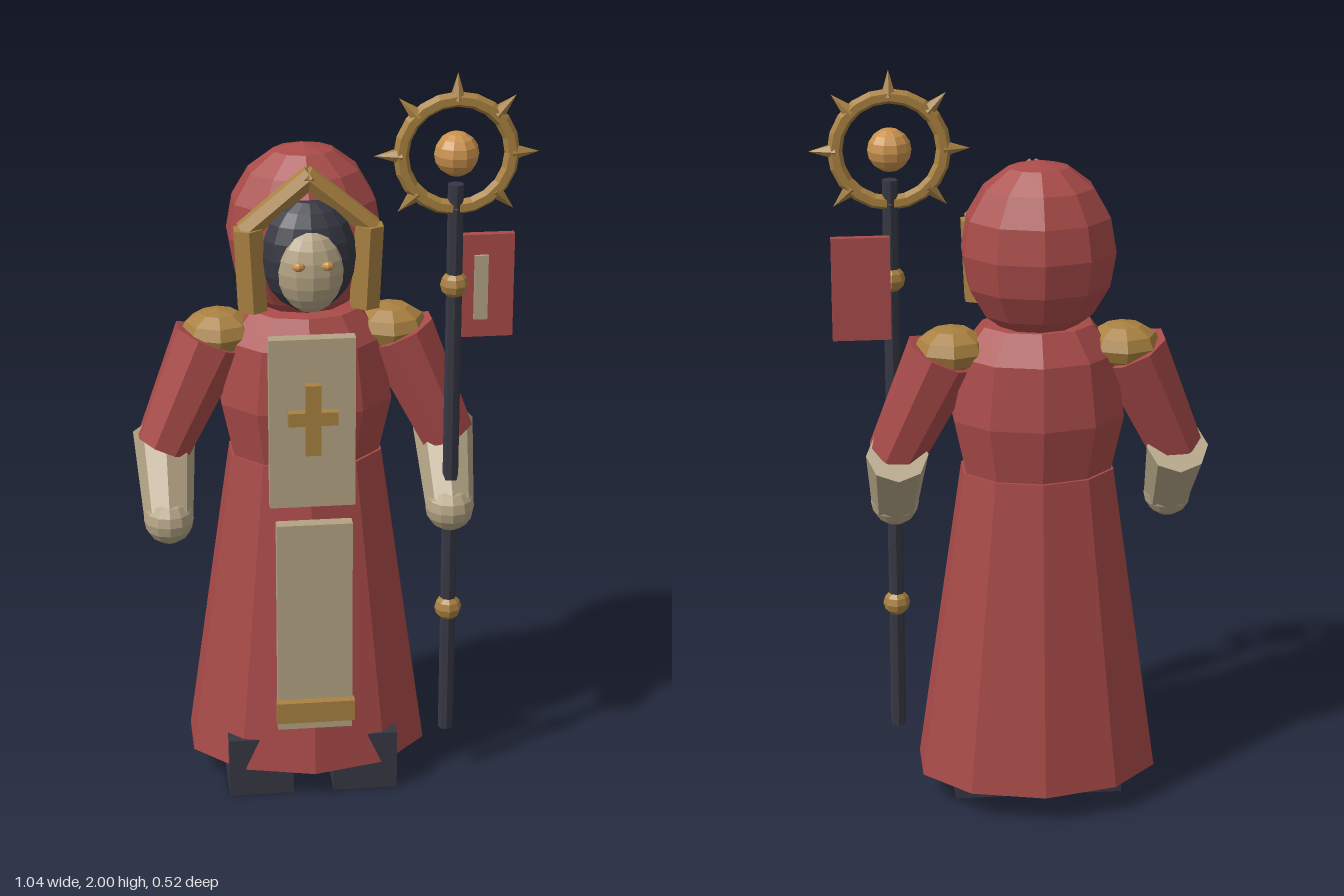
import * as THREE from 'three';

const mat = (name, color) => {
  const m = new THREE.MeshStandardMaterial({ color, flatShading: true });
  m.name = name;
  return m;
};

export function createModel() {
  const red = mat('robe red', 0xa94b49);
  const tan = mat('parchment tan', 0xb3a384);
  const gold = mat('old gold', 0xa98141);
  const amber = mat('amber', 0xc8914c);
  const dark = mat('dark iron', 0x363742);
  const model = new THREE.Group();
  const CX = -0.07; // body centre line
  const STAFF_X = 0.305, STAFF_Z = 0.12;

  const add = (name, geo, material, x = 0, y = 0, z = 0, parent = model) => {
    const m = new THREE.Mesh(geo, material);
    m.name = name;
    m.position.set(x, y, z);
    parent.add(m);
    return m;
  };
  const box = (name, material, w, h, d, x, y, z) =>
    add(name, new THREE.BoxGeometry(w, h, d), material, x, y, z);
  const ellipsoid = (name, material, r, p, ws = 10, hs = 7) => {
    const g = new THREE.SphereGeometry(1, ws, hs).rotateY(Math.PI / 2);
    g.scale(...r);
    return add(name, g, material, ...p);
  };
  // tapered rod between two points
  const rod = (name, material, a, b, ra, rb, sides) => {
    const A = new THREE.Vector3(...a), B = new THREE.Vector3(...b);
    const dir = B.clone().sub(A);
    const m = add(name, new THREE.CylinderGeometry(rb, ra, dir.length(), sides), material);
    m.position.copy(A).add(B).multiplyScalar(0.5);
    m.quaternion.setFromUnitVectors(new THREE.Vector3(0, 1, 0), dir.normalize());
    return m;
  };

  // robe skirt and torso
  const skirt = new THREE.CylinderGeometry(0.21, 0.336, 0.87, 10).scale(1, 1, 0.745);
  add('robeSkirt', skirt, red, CX, 0.515, -0.01);
  const torsoProfile = [[0, 0.935], [0.2, 0.935], [0.237, 1.1], [0.212, 1.27], [0.15, 1.35], [0, 1.37]];
  const torso = new THREE.LatheGeometry(torsoProfile.map(p => new THREE.Vector2(...p)), 10).scale(1, 1, 0.73);
  add('torso', torso, red, CX, 0, -0.01);

  // hood, inner cowl and mask
  ellipsoid('hood', red, [0.208, 0.238, 0.17], [CX, 1.552, -0.025], 10, 8);
  ellipsoid('innerCowl', dark, [0.125, 0.152, 0.09], [CX, 1.53, 0.1], 14, 10);
  ellipsoid('faceMask', tan, [0.086, 0.112, 0.065], [CX, 1.505, 0.155], 12, 10);

  for (const s of [-1, 1]) {
    const X = d => CX + s * d;
    ellipsoid('eye', amber, [0.017, 0.012, 0.012], [X(0.037), 1.535, 0.214], 8, 6);

    // gabled frame around the hood opening
    rod('framePost', gold, [X(0.145), 1.385, 0.1], [X(0.155), 1.605, 0.1], 0.042, 0.042, 6);
    rod('frameGable', gold, [X(0.165), 1.595, 0.1], [X(-0.008), 1.74, 0.1], 0.03, 0.03, 6);

    // arms
    ellipsoid('shoulderPad', gold, [0.1, 0.062, 0.093], [X(0.227), 1.285, -0.015], 8, 6);
    rod('sleeve', red, [X(0.25), 1.27, -0.01], [X(0.38), 0.98, 0.015], 0.1, 0.076, 8);
    rod('forearm', tan, [X(0.375), 1.0, -0.035], [X(0.375), 0.815, 0.117], 0.083, 0.065, 8);
    ellipsoid('hand', tan, [0.066, 0.066, 0.066], [X(0.375), 0.811, 0.12], 12, 8);

    // boots
    box('boot', dark, 0.175, 0.17, 0.28, X(0.1425), 0.085, 0.055);
  }

  // hanging cloth panels with trim
  box('chestPanel', tan, 0.225, 0.47, 0.035, CX, 1.095, 0.173);
  box('skirtPanel', tan, 0.2, 0.605, 0.035, CX, 0.527, 0.223);
  box('panelHem', gold, 0.21, 0.06, 0.028, CX, 0.285, 0.25);
  box('crossUpright', gold, 0.04, 0.195, 0.025, CX, 1.113, 0.202);
  box('crossBar', gold, 0.13, 0.037, 0.024, CX, 1.117, 0.202);

  // staff
  add('staffShaft', new THREE.CylinderGeometry(0.021, 0.021, 1.57, 8), dark, STAFF_X, 0.925, STAFF_Z);
  for (const y of [0.51, 1.44])
    ellipsoid('staffKnob', gold, [0.037, 0.037, 0.037], [STAFF_X, y, STAFF_Z], 8, 6);

  // spiked ring head
  const head = new THREE.Group();
  head.name = 'staffHead';
  head.position.set(STAFF_X, 1.79, STAFF_Z);
  model.add(head);
  add('ring', new THREE.TorusGeometry(0.142, 0.02, 6, 20), gold, 0, 0, 0, head);
  add('orb', new THREE.SphereGeometry(0.058, 10, 8), amber, 0, 0, 0, head);
  for (let i = 0; i < 8; i++) {
    const a = i * Math.PI / 4;
    const spike = add('spike', new THREE.ConeGeometry(0.022, 0.07, 6), gold,
      -Math.sin(a) * 0.176, Math.cos(a) * 0.176, 0, head);
    spike.rotation.z = a;
  }

  // banner on the staff
  box('banner', red, 0.155, 0.28, 0.022, 0.387, 1.425, 0.09);
  box('bannerStripe', tan, 0.036, 0.175, 0.009, 0.378, 1.423, 0.105);

  return model;
}
